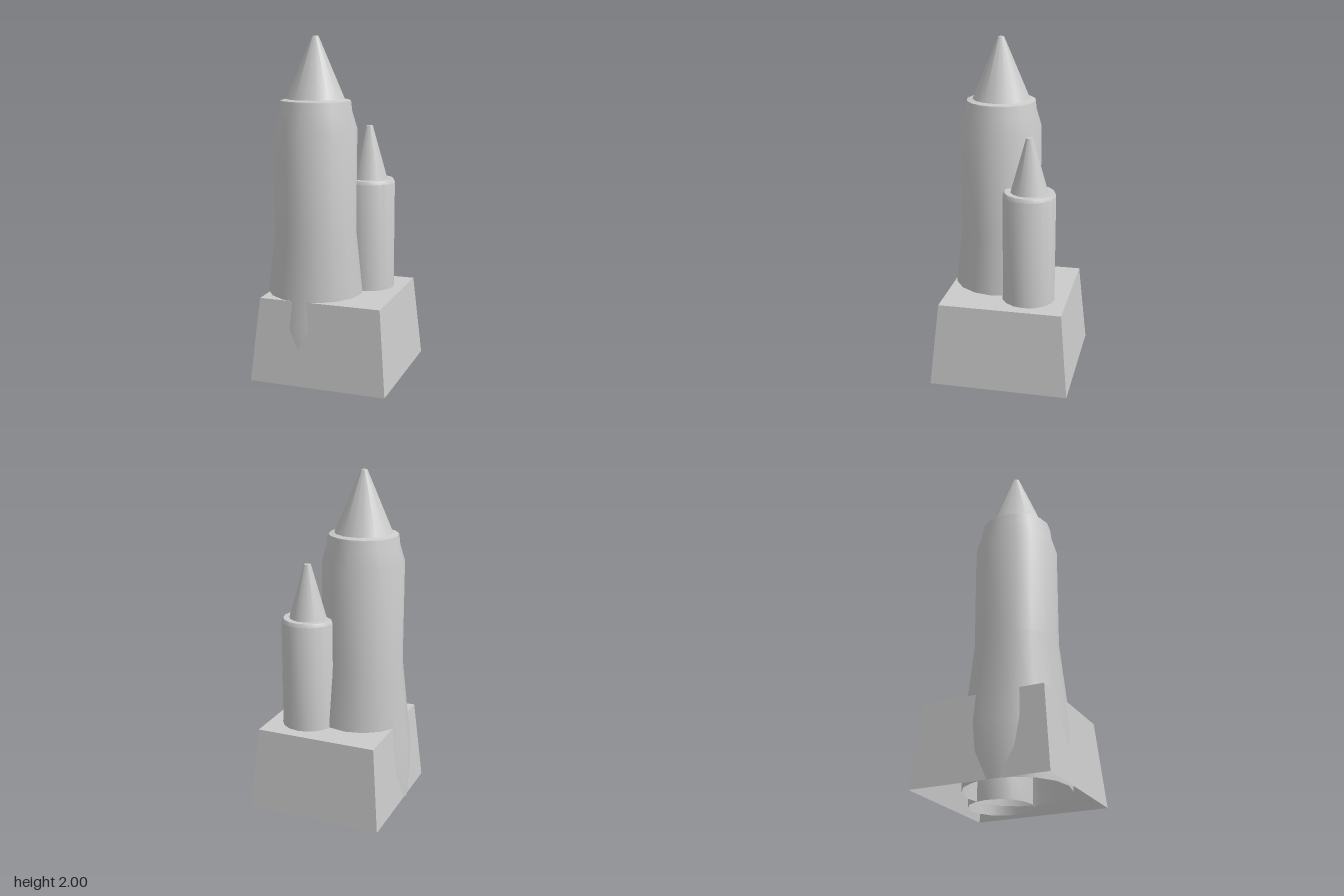
import * as THREE from 'three';
import { toCreasedNormals } from 'three/addons/utils/BufferGeometryUtils.js';

const material = new THREE.MeshStandardMaterial({ color: 0xcccccc, side: THREE.DoubleSide });

function addMesh(parent, name, geometry) {
  const mesh = new THREE.Mesh(geometry, material);
  mesh.name = name;
  parent.add(mesh);
  return mesh;
}

// Sixteen-sided turned part; the profile lists [radius, height] from bottom to top
function turned(parent, name, profile) {
  const points = profile.map(([r, y]) => new THREE.Vector2(r, y));
  return addMesh(parent, name, toCreasedNormals(new THREE.LatheGeometry(points, 16), 0.5));
}

function tower(name, x, z, bodyProfile, spireProfile) {
  const group = new THREE.Group();
  group.name = name;
  group.position.set(x, 0, z);
  turned(group, name + 'Body', bodyProfile);
  turned(group, name + 'Spire', spireProfile);
  return group;
}

export function createModel() {
  const model = new THREE.Group();
  model.name = 'twinTowers';

  // Tapered square base, open underneath
  const height = 0.496, top = 0.364, bottom = 0.411;
  const walls = new THREE.CylinderGeometry(top * Math.SQRT2, bottom * Math.SQRT2, height, 4, 1, true);
  walls.rotateY(Math.PI / 4);
  walls.translate(0, height / 2, 0);
  addMesh(model, 'baseWalls', toCreasedNormals(walls, 0.5));
  const deck = new THREE.PlaneGeometry(top * 2, top * 2);
  deck.rotateX(-Math.PI / 2);
  deck.translate(0, height, 0);
  addMesh(model, 'baseTop', deck);

  // Tall tower: flared foot, straight shaft, shoulder, collar and spire
  model.add(tower('tallTower', -0.117, 0.09,
    [[0.301, 0], [0.301, 0.33], [0.243, 0.86], [0.243, 1.47], [0.213, 1.57],
      [0.207, 1.625], [0.205, 1.632], [0.17, 1.64]],
    [[0.17, 1.64], [0.018, 2], [0, 2]]));

  // Short tower: flared foot, straight shaft, chamfered rim and spire
  model.add(tower('shortTower', 0.141, -0.132,
    [[0.19, 0], [0.19, 0.2], [0.156, 0.52], [0.156, 1.135], [0.145, 1.157], [0.109, 1.157]],
    [[0.109, 1.157], [0.02, 1.474], [0, 1.474]]));

  return model;
}
